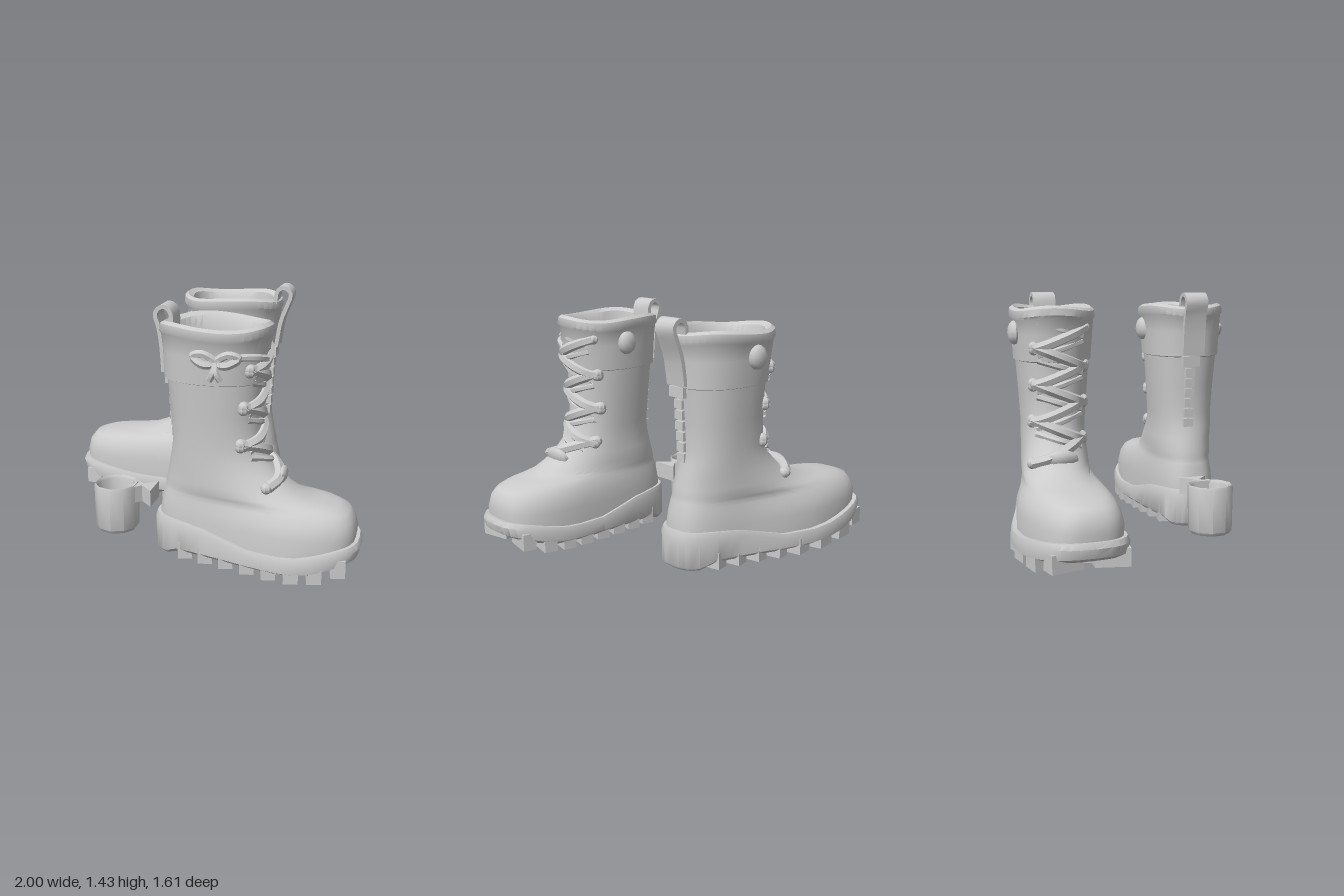
import * as THREE from 'three';
import { toCreasedNormals } from 'three/addons/utils/BufferGeometryUtils.js';

const material = new THREE.MeshStandardMaterial({ color: 0xcccccc, side: THREE.DoubleSide });
const { lerp, smoothstep } = THREE.MathUtils;
const SEGMENTS = 40;

// Outline rows: height, back x, front x, back half-width, front half-width, back z, front z,
// ball-of-foot bulge, roundness (1 is an ellipse, less is squarer)
const upperRows = [
  [0.10, -0.17, 0.95, 0.19, 0.26, 0.42, 0.51, 0.03, 0.66],
  [0.24, -0.17, 0.97, 0.19, 0.26, 0.42, 0.51, 0.03, 0.66],
  [0.31, -0.16, 0.955, 0.19, 0.245, 0.42, 0.51, 0.025, 0.68],
  [0.355, -0.15, 0.925, 0.19, 0.225, 0.42, 0.51, 0.015, 0.72],
  [0.38, -0.145, 0.87, 0.19, 0.21, 0.42, 0.51, 0.01, 0.76],
  [0.395, -0.14, 0.78, 0.19, 0.205, 0.42, 0.51, 0.01, 0.8],
  [0.415, -0.14, 0.68, 0.19, 0.205, 0.42, 0.51, 0.005, 0.84],
  [0.46, -0.13, 0.60, 0.195, 0.205, 0.42, 0.50, 0, 0.88],
  [0.53, -0.115, 0.52, 0.19, 0.195, 0.43, 0.48, 0, 0.9],
  [0.60, -0.10, 0.46, 0.19, 0.185, 0.44, 0.47, 0, 0.9],
  [0.68, -0.09, 0.42, 0.19, 0.185, 0.44, 0.46, 0, 0.9],
  [0.85, -0.10, 0.41, 0.20, 0.20, 0.44, 0.455, 0, 0.9],
  [1.06, -0.12, 0.42, 0.215, 0.215, 0.44, 0.455, 0, 0.9],
];
// Outside of the cuff, over the rim and down the lining
const cuffRows = [
  [1.03, -0.11, 0.42, 0.20], [1.04, -0.135, 0.435, 0.225], [1.19, -0.14, 0.45, 0.235],
  [1.28, -0.15, 0.465, 0.24], [1.295, -0.16, 0.475, 0.25], [1.335, -0.155, 0.47, 0.245],
  [1.35, -0.13, 0.45, 0.225], [1.33, -0.1, 0.415, 0.20], [1.25, -0.085, 0.39, 0.185],
  [1.12, -0.075, 0.37, 0.175], [1.11, 0.14, 0.15, 0.002],
].map(([y, b, f, w]) => [y, b, f, w, w, 0.44, 0.455, 0, 0.9]);
const soleRows = [
  [0.04, 0.39, 0.40, 0.002, 0.002, 0.47, 0.47, 0],
  [0.04, -0.18, 0.94, 0.19, 0.25, 0.42, 0.505, 0.035],
  [0.06, -0.197, 0.985, 0.207, 0.28, 0.42, 0.51, 0.04],
  [0.17, -0.2, 1.0, 0.21, 0.285, 0.42, 0.51, 0.04],
  [0.20, -0.19, 0.985, 0.2, 0.275, 0.42, 0.51, 0.04],
  [0.20, -0.1, 0.88, 0.14, 0.2, 0.42, 0.5, 0.02],
].map(row => [...row, 0.66]);

const toeSpring = x => 0.06 * smoothstep(x, 0.68, 1.02);

// Centre z and half-width of a row, u running from heel (0) to toe (1)
function section([, , , wb, wf, zb, zf, bulge], u) {
  const bump = bulge * Math.exp(-(((u - 0.66) / 0.25) ** 2));
  return { z: lerp(zb, zf, u) + bump * 0.7, half: lerp(wb, wf, u) + bump };
}

function outline(row, height) {
  const points = [], [y, xb, xf] = row, power = row[8];
  for (let j = 0; j < SEGMENTS; j++) {
    const t = j / SEGMENTS * Math.PI * 2;
    const c = Math.sign(Math.cos(t)) * Math.abs(Math.cos(t)) ** power;
    const s = Math.sign(Math.sin(t)) * Math.abs(Math.sin(t)) ** power;
    const u = (c + 1) / 2, x = lerp(xb, xf, u), { z, half } = section(row, u);
    points.push([x, height ? height(x, y, t) : y, z + s * half]);
  }
  return points;
}

function loft(rows, height) {
  const index = [], n = SEGMENTS;
  for (let i = 0; i < rows.length - 1; i++) {
    for (let j = 0; j < n; j++) {
      const a = i * n + j, b = i * n + (j + 1) % n;
      index.push(a, a + n, b, b, a + n, b + n);
    }
  }
  const geometry = new THREE.BufferGeometry();
  const points = rows.flatMap(r => outline(r, height));
  geometry.setAttribute('position', new THREE.Float32BufferAttribute(points.flat(), 3));
  geometry.setIndex(index);
  return geometry;
}

// Point on the front of the upper at a height and sideways offset
function frontPoint(y, dz, lift) {
  let i = 0;
  while (i < upperRows.length - 2 && upperRows[i + 1][0] < y) i++;
  const a = upperRows[i], b = upperRows[i + 1], k = Math.min((y - a[0]) / (b[0] - a[0]), 1.5);
  const r = a.map((v, m) => lerp(v, b[m], k));
  const sin = Math.min(Math.abs(dz) / r[4], 1) ** (1 / r[8]);
  const cos = Math.sqrt(1 - sin * sin) ** r[8];
  const x = (r[1] + r[2]) / 2 + (r[2] - r[1]) / 2 * cos;
  return new THREE.Vector3(x + lift + 0.015 * smoothstep(y, 1, 1.1), y, r[6] + dz);
}

// Flat ribbon following a path in the x-y plane
function ribbon(path, width, thickness, z) {
  const curve = new THREE.SplineCurve(path.map(p => new THREE.Vector2(...p)));
  const left = [], right = [];
  for (let i = 0; i <= 16; i++) {
    const p = curve.getPoint(i / 16), t = curve.getTangent(i / 16);
    const n = new THREE.Vector2(-t.y, t.x).multiplyScalar(thickness / 2);
    left.push(p.clone().add(n));
    right.unshift(p.clone().sub(n));
  }
  const shape = new THREE.Shape([...left, ...right]);
  return new THREE.ExtrudeGeometry(shape, { depth: width, bevelEnabled: false }).translate(0, 0, z - width / 2);
}

function tube(points, radius, closed = false) {
  return new THREE.TubeGeometry(new THREE.CatmullRomCurve3(points, closed), points.length * 5, radius, 6, closed);
}

function addMesh(parent, name, geometry) {
  const mesh = new THREE.Mesh(toCreasedNormals(geometry, 0.75), material);
  mesh.name = name;
  parent.add(mesh);
}

function makeBoot(name, { heelShift, strapShift, knobSide, hasBow }) {
  const boot = new THREE.Group();
  boot.name = name;
  // Slides the heel and shaft back while the toe stays in place
  const add = (part, geometry) => {
    const p = geometry.attributes.position;
    for (let i = 0; i < p.count; i++) {
      const x = p.getX(i), k = 1 - smoothstep(x, 0.45, 0.97);
      p.setX(i, x - heelShift * k);
      p.setZ(i, p.getZ(i) - heelShift * 0.12 * (1 - smoothstep(x, 0.1, 0.6)));
    }
    addMesh(boot, part, geometry);
  };

  add('upper', loft(upperRows));
  add('cuff', loft(cuffRows, (x, y, t) => y + (y > 1.25 ? 0.01 * Math.sin(3 * t + 1) : 0)));
  // The sole meets the ground at the heel, dips at the waist and lifts at the toe
  add('sole', loft(soleRows, (x, y) => {
    const dip = 0.06 * smoothstep(x, 0.1, 0.45) * (1 - smoothstep(x, 0.6, 1)) - 0.025 * (1 - smoothstep(x, -0.1, 0.3));
    return y < 0.1 ? y + toeSpring(x) - 0.04 * (1 - smoothstep(x, -0.12, -0.02)) : y - dip;
  }));

  // Tread lugs in slanted pairs, following the edge of the sole
  for (let i = 0; i < 8; i++) {
    const x = i * 0.125, u = (x + 0.2) / 1.2;
    const { z, half } = section(soleRows[3], u);
    const reach = half * (1 - Math.abs(2 * u - 1) ** 3) ** 0.33;
    for (const side of [-1, 1]) {
      const lug = new THREE.BoxGeometry(0.08, 0.1, reach * 0.8);
      lug.rotateY(side * 0.2);
      lug.translate(x, 0.05 + toeSpring(x), z + side * reach * 0.55);
      add('treadLug', lug);
    }
  }

  // Crossed laces lying in the creases of the tongue
  for (let i = 0; i < 7; i++) {
    const y = 0.54 + i * 0.105, dir = i % 2 ? 1 : -1;
    const lace = [-0.15, -0.08, 0, 0.08, 0.15].map(d => frontPoint(y + d * dir * 0.4, d, 0.006));
    add('lace', tube(lace, 0.032));
    const cross = [-0.13, 0, 0.13].map(d => frontPoint(y + 0.05 - d * dir * 0.3, d, 0));
    add('crossLace', tube(cross, 0.02));
    for (const d of [-0.15, 0.15]) {
      const p = frontPoint(y + d * dir * 0.4, d, 0);
      add('eyelet', new THREE.SphereGeometry(0.033, 8, 6).translate(p.x, p.y, p.z));
    }
  }
  const fold = new THREE.SphereGeometry(1, 10, 8).scale(0.035, 0.06, 0.1);
  add('tongueFold', fold.rotateZ(-0.3).translate(0.535, 0.5, 0.49));

  // Pull strap, its lower tab and the beaded back seam
  const strap = [[-0.14, 1.05], [-0.15, 1.2], [-0.165, 1.3], [-0.185, 1.375], [-0.145, 1.415], [-0.1, 1.39], [-0.09, 1.31], [-0.08, 1.2]];
  add('pullStrap', ribbon(strap.map(([x, y]) => [x + strapShift * smoothstep(y, 1.1, 1.35), y]), 0.14, 0.024, 0.41));
  add('strapTab', new THREE.BoxGeometry(0.04, 0.06, 0.11).translate(-0.12, 1.01, 0.4));
  for (let i = 0; i < 6; i++) {
    const bead = new THREE.BoxGeometry(0.03, 0.05, 0.06);
    add('backSeamBead', bead.translate(-0.09 - i * 0.004, 0.63 + i * 0.062, 0.4));
  }

  // Side button on the cuff
  const knob = new THREE.SphereGeometry(1, 10, 8).scale(0.065, 0.07, 0.04);
  add('cuffButton', knob.translate(0.2, 1.2, 0.45 + knobSide * 0.235));

  // Lace bow on the outer side
  if (hasBow) {
    const v = (x, y, z) => new THREE.Vector3(x, y, z);
    for (const s of [-1, 1]) {
      add('bowLoop', tube([v(0.21, 1.17, 0.69), v(0.21 + s * 0.07, 1.22, 0.705),
        v(0.21 + s * 0.125, 1.2, 0.69), v(0.21 + s * 0.06, 1.16, 0.71)], 0.022, true));
      add('bowTail', tube([v(0.21, 1.17, 0.7), v(0.21 + s * 0.01, 1.12, 0.72), v(0.21 + s * 0.03, 1.08, 0.71)], 0.018));
    }
    add('bowLace', tube([v(0.33, 1.2, 0.67), v(0.41, 1.19, 0.6), v(0.45, 1.17, 0.52)], 0.02));
  }
  return boot;
}

function makeCup() {
  const cup = new THREE.Group();
  cup.name = 'cup';
  const profile = [[0, 0.04], [0.115, 0.04], [0.13, 0.06], [0.133, 0.31], [0.127, 0.325], [0.118, 0.31], [0.11, 0.08], [0, 0.08]];
  const body = new THREE.LatheGeometry(profile.map(p => new THREE.Vector2(...p)), 10);
  addMesh(cup, 'cupBody', body.translate(-0.475, 0, 0.37));
  // Waisted handle that flares at its outer end
  const corners = [[-0.37, 0.29], [-0.315, 0.345], [-0.24, 0.28], [-0.24, 0.45], [-0.315, 0.375], [-0.37, 0.43]];
  const handle = new THREE.ExtrudeGeometry(new THREE.Shape(corners.map(p => new THREE.Vector2(...p))), { depth: 0.1, bevelEnabled: false });
  addMesh(cup, 'cupHandle', handle.rotateX(Math.PI / 2).translate(0, 0.32, 0));
  return cup;
}

export function createModel() {
  const model = new THREE.Group();
  model.name = 'bootsAndCup';
  const front = makeBoot('frontBoot', { heelShift: 0, strapShift: 0, knobSide: -1, hasBow: true });
  const back = makeBoot('backBoot', { heelShift: 0.21, strapShift: -0.04, knobSide: 1, hasBow: false });
  back.rotation.y = Math.PI;
  model.add(front, back, makeCup());
  return model;
}
